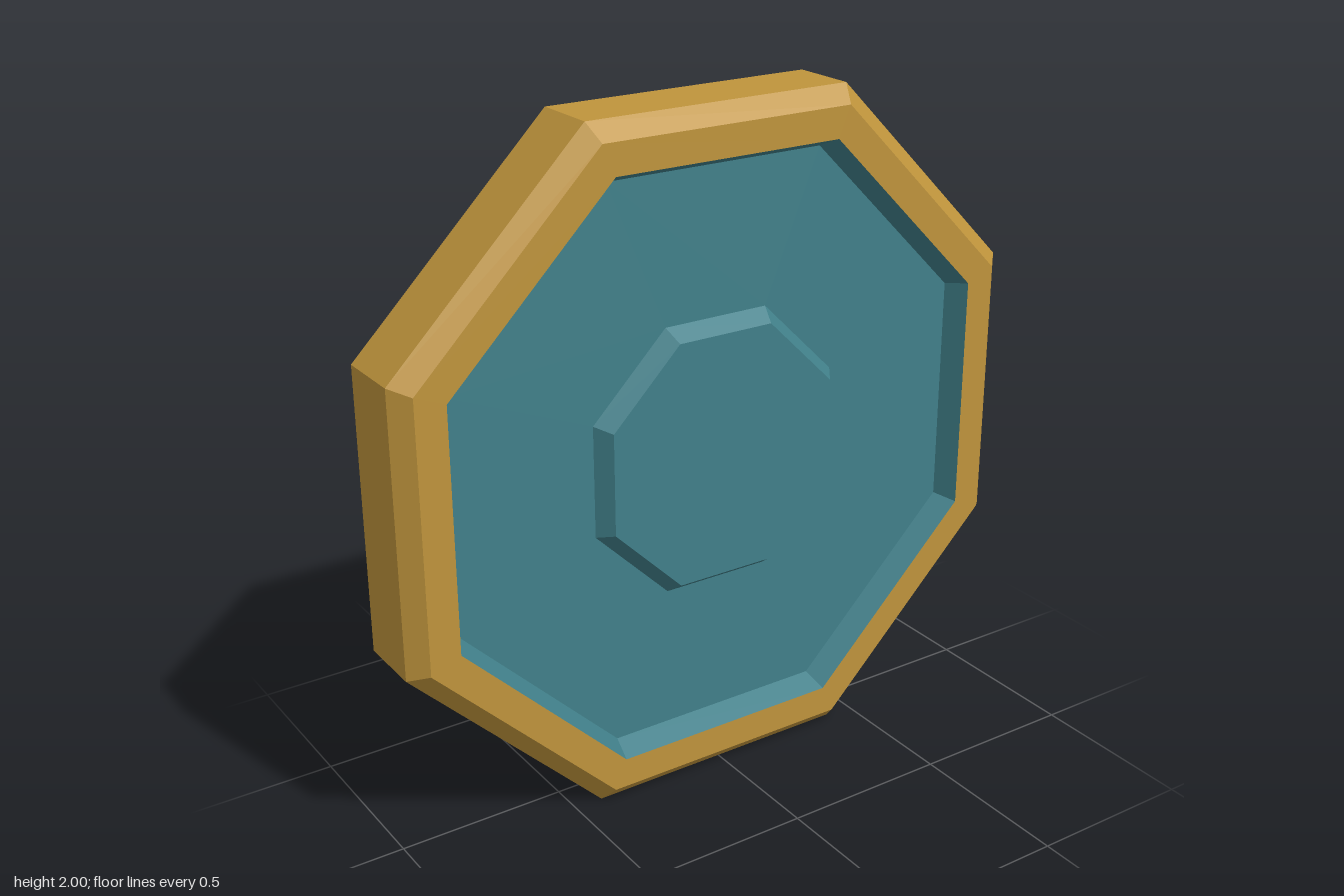
import * as THREE from 'three';

const gold = new THREE.MeshStandardMaterial({ color: 0xbf943c });
gold.name = 'gold';
const teal = new THREE.MeshStandardMaterial({ color: 0x41808a });
teal.name = 'teal';

// Eight-sided ring from [apothem, depth] points, facing +z with faceted normals
function octagonRing(name, profile, material) {
  const k = 1 / Math.cos(Math.PI / 8);
  const points = profile.map(([a, z]) => new THREE.Vector2(a * k, z));
  const geometry = new THREE.LatheGeometry(points, 8, Math.PI / 8)
    .rotateX(Math.PI / 2)
    .toNonIndexed();
  geometry.computeVertexNormals();
  const mesh = new THREE.Mesh(geometry, material);
  mesh.name = name;
  return mesh;
}

export function createModel() {
  const model = new THREE.Group();
  model.name = 'octagonalDisc';

  // Bevelled outer frame
  const frame = octagonRing('frame', [
    [0.86, -0.15], [0.95, -0.15], [1, -0.1], [1, 0.1], [0.95, 0.15], [0.86, 0.15],
  ], gold);
  frame.position.y = 1;
  model.add(frame);

  // Recessed panel with a raised centre, the same on both sides
  for (const side of ['front', 'back']) {
    const face = new THREE.Group();
    face.name = side + 'Face';
    face.add(
      octagonRing('recessedPanel', [[0.86, 0.15], [0.83, 0.08], [0.4, 0.08]], teal),
      octagonRing('centreBoss', [[0.4, 0.08], [0.365, 0.13], [0, 0.13]], teal),
    );
    face.position.y = 1;
    if (side === 'back') face.rotation.y = Math.PI;
    model.add(face);
  }
  return model;
}
